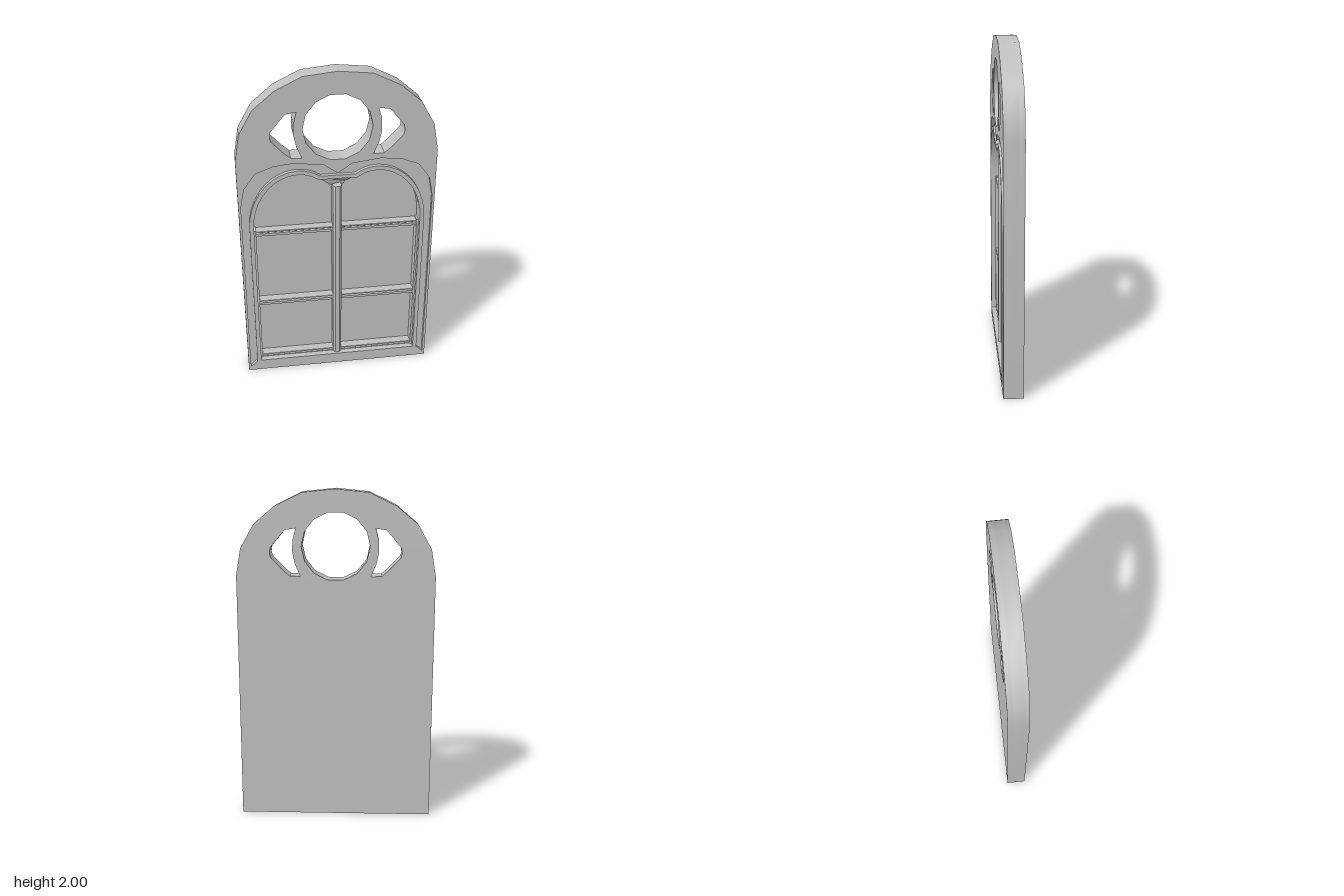
import * as THREE from 'three';
import { toCreasedNormals } from 'three/addons/utils/BufferGeometryUtils.js';

const PANE_Z = -0.03, TROUGH_Z = 0.035, FRONT_Z = 0.056, BACK_Z = -0.062;

// Closed outline made from its right half, listed bottom to top
const mirrored = (half) => {
  const other = half.filter(([x]) => x > 0).reverse().map(([x, y]) => [-x, y]);
  return [...half, ...other].map(([x, y]) => new THREE.Vector2(x, y));
};

// Right half of the twin-arched window opening, grown outward by d
function openingHalf(d) {
  const pts = [[0.5 + d, 0.075 - d * 0.3]];
  for (let i = 0; i <= 12; i++) {
    const a = THREE.MathUtils.degToRad(118 * i / 12);
    const rx = Math.cos(a) > 0 ? 0.27 : 0.25;
    pts.push([0.23 + (rx + d) * Math.cos(a), 1.06 + (0.335 + d) * Math.sin(a)]);
  }
  return pts;
}

export function createModel() {
  const model = new THREE.Group();
  const stone = new THREE.MeshStandardMaterial({ color: 0xc0c0c0 });
  stone.name = 'pale grey stone';

  const add = (name, geometry) => {
    const mesh = new THREE.Mesh(geometry, stone);
    mesh.name = name;
    model.add(mesh);
    return mesh;
  };
  const slab = (points, holes, z0, z1) => {
    const shape = new THREE.Shape(points);
    shape.holes = holes.map((h) => new THREE.Path(h));
    const g = new THREE.ExtrudeGeometry(shape, { depth: z1 - z0, bevelEnabled: false });
    g.translate(0, 0, z0);
    return toCreasedNormals(g, 0.5);
  };

  // Arched outer silhouette
  const outline = mirrored([[0.583, 0], [0.583, 1.5], [0.555, 1.66], [0.475, 1.8],
    [0.35, 1.905], [0.195, 1.98], [0, 2]]);

  // Round light and the two crescent lights beside it
  const round = [];
  for (let i = 0; i < 14; i++) {
    const a = (i + 0.5) / 14 * Math.PI * 2 + Math.PI / 14;
    round.push(new THREE.Vector2(0.2 * Math.cos(a), 1.672 + 0.2 * Math.sin(a)));
  }
  const crescent = (s) => [[0.232, 1.777], [0.25, 1.71], [0.252, 1.64], [0.237, 1.57],
    [0.206, 1.497], [0.27, 1.5], [0.31, 1.535], [0.378, 1.607], [0.385, 1.63],
    [0.38, 1.665], [0.295, 1.767]].map(([x, y]) => new THREE.Vector2(s * x, y));
  const lights = [round, crescent(1), crescent(-1)];

  const opening = mirrored(openingHalf(0));
  const frameEdge = mirrored(openingHalf(0.025));
  const trough = mirrored([[0.525, 0.0675], [0.568, 0.03], [0.568, 1.2], [0.545, 1.32],
    [0.475, 1.415], [0.37, 1.455], [0.25, 1.467], [0.08, 1.445], [0, 1.388]]);

  // Slab in three layers: blind back, window reveal, stepped face
  add('backPanel', slab(outline, lights, BACK_Z, PANE_Z));
  add('windowReveal', slab(outline, [...lights, opening], PANE_Z, TROUGH_Z));
  add('frontFace', slab(outline, [...lights, trough], TROUGH_Z, FRONT_Z));
  add('archMoulding', slab(frameEdge, [opening], TROUGH_Z, 0.06));

  // Spandrel between the arches, its front sloping back toward its foot
  const foot = [[0.022, 1.24], [0.055, 1.3], [0.11, 1.356]];
  const spandrel = slab(mirrored(foot), [], PANE_Z, TROUGH_Z);
  const p = spandrel.attributes.position;
  for (let i = 0; i < p.count; i++) {
    if (p.getZ(i) > 0) {
      const t = THREE.MathUtils.clamp((p.getY(i) - 1.3) / 0.056, 0, 1);
      p.setZ(i, THREE.MathUtils.lerp(-0.022, 0.04, t));
    }
  }
  add('spandrel', toCreasedNormals(spandrel, 0.3));

  // Central mullion with bevelled edges
  const bar = (profile, length) => new THREE.ExtrudeGeometry(
    new THREE.Shape(profile.map(([a, b]) => new THREE.Vector2(a, b))),
    { depth: length, bevelEnabled: false });
  const mullion = bar([[-0.026, PANE_Z], [0.026, PANE_Z], [0.026, 0.03], [0.013, 0.045],
    [-0.013, 0.045], [-0.026, 0.03]], 1.225);
  mullion.rotateX(-Math.PI / 2);
  // the profile's second axis now points to -z, so turn it to the front
  mullion.rotateY(Math.PI);
  add('mullion', mullion).position.y = 0.07;

  // Glazing bars with an undercut upper bead, and the sill bar
  for (const [name, y] of [['upperTransom', 1.0], ['lowerTransom', 0.5], ['sillBar', 0.08]]) {
    for (const s of [-1, 1]) {
      const g = bar([[-PANE_Z, -0.016], [-0.022, -0.016], [-0.022, 0], [-0.012, 0.002],
        [-0.03, 0.014], [-0.025, 0.018], [-PANE_Z, 0.018]].reverse(), 0.485);
      g.rotateY(Math.PI / 2);
      add(name + (s > 0 ? 'Left' : 'Right'), g).position.set(s > 0 ? 0.02 : -0.505, y, 0);
    }
  }

  // Narrow stiles lining the sides of each light
  for (const s of [-1, 1]) {
    const stile = new THREE.BoxGeometry(0.014, 0.95, 0.06);
    add(s > 0 ? 'leftStile' : 'rightStile', stile).position.set(s * 0.495, 0.55, 0);
  }
  return model;
}
